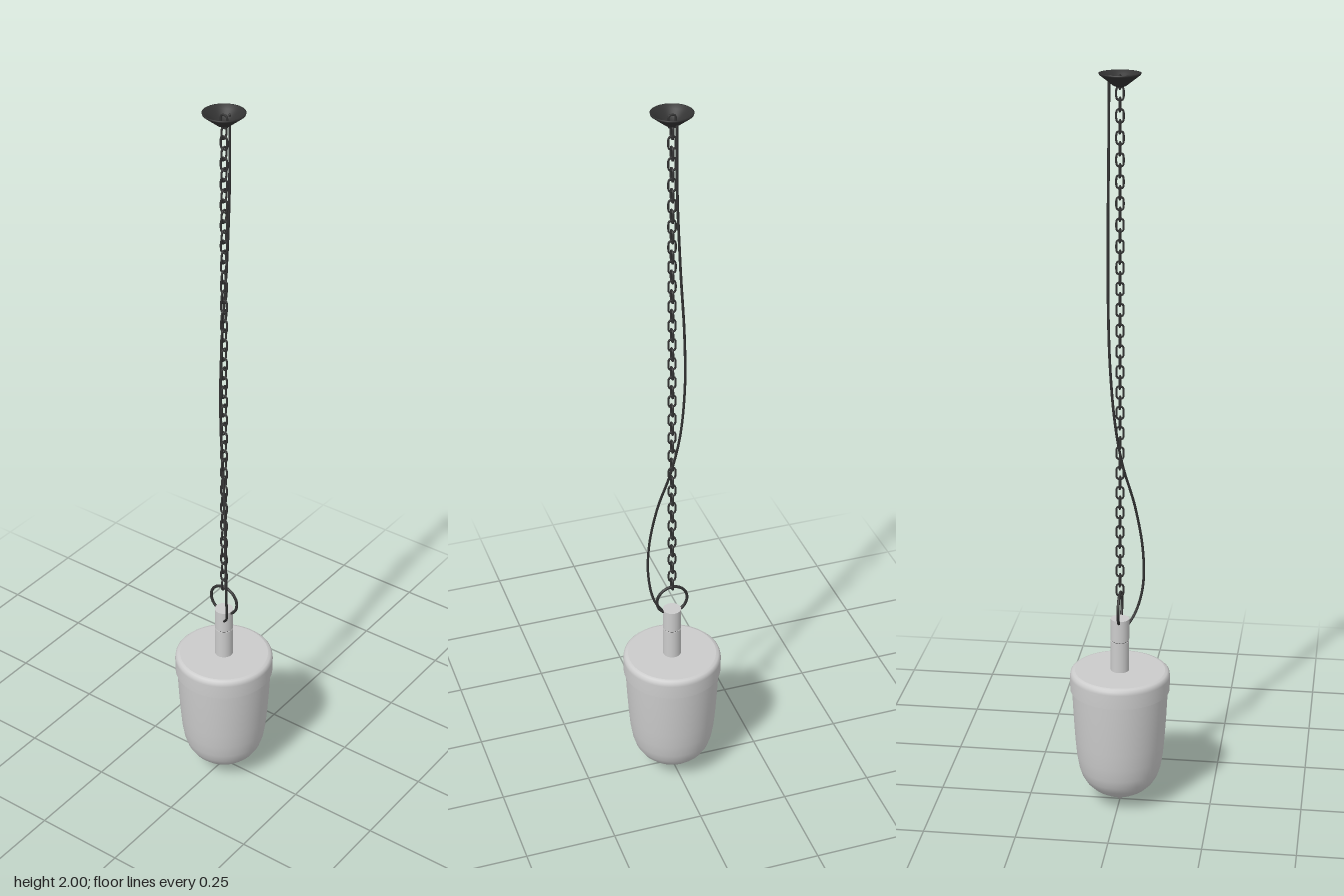
import * as THREE from 'three';

const grey = new THREE.MeshStandardMaterial({ color: 0xcccccc, side: THREE.DoubleSide });
const dark = new THREE.MeshStandardMaterial({ color: 0x333333, side: THREE.DoubleSide });

// Repeating a profile point makes a crisp edge; other corners stay smooth.
function lathe(points, segments = 64) {
  return new THREE.LatheGeometry(points.map(([r, y]) => new THREE.Vector2(r, y)), segments);
}

// Stadium-shaped outline for one chain link, standing in the xy plane.
class LinkCurve extends THREE.Curve {
  constructor(halfWidth, straight) {
    super();
    this.r = halfWidth;
    this.s = straight;
  }
  getPoint(t, target = new THREE.Vector3()) {
    const a = t * Math.PI * 2;
    const c = Math.cos(a), s = Math.sin(a);
    const squash = (v) => Math.sign(v) * Math.pow(Math.abs(v), 0.55);
    return target.set(this.r * squash(c), this.s * squash(s), 0);
  }
}

export function createModel() {
  const model = new THREE.Group();
  model.name = 'pendantLamp';

  function add(name, geometry, material, parent = model) {
    const mesh = new THREE.Mesh(geometry, material);
    mesh.name = name;
    parent.add(mesh);
    return mesh;
  }

  // Ceiling canopy: a thin shallow dish, open upward
  add('canopy', lathe([
    [0, 1.966], [0.01, 1.966], [0.017, 1.969], [0.03, 1.979], [0.043, 1.989],
    [0.052, 1.996], [0.053, 2], [0.05, 2], [0.04, 1.992], [0.027, 1.981],
    [0.015, 1.972], [0, 1.97],
  ], 48), dark);

  // Chain: alternating links turned a quarter
  const chain = new THREE.Group();
  chain.name = 'chain';
  model.add(chain);
  const linkGeometry = new THREE.TubeGeometry(new LinkCurve(0.0095, 0.0165), 24, 0.0028, 6, true);
  const count = 50, bottom = 0.625, top = 1.977;
  for (let i = 0; i < count; i++) {
    const link = add('chainLink', linkGeometry, dark, chain);
    link.position.y = bottom + (top - bottom) * i / (count - 1);
    link.rotation.y = i % 2 ? 0 : Math.PI / 2;
  }

  // Ring threaded through the stem
  add('hangingRing', new THREE.TorusGeometry(0.043, 0.004, 10, 48), dark).position.y = 0.572;

  // Power cord, swinging loosely around the chain
  const cordPath = new THREE.CatmullRomCurve3([
    [-0.003, 1.985, -0.027], [-0.004, 1.8, -0.028], [-0.012, 1.6, -0.029],
    [-0.024, 1.4, -0.027], [-0.027, 1.25, -0.022], [-0.018, 1.1, -0.011],
    [0.002, 0.98, 0.006], [0.03, 0.85, 0.037], [0.047, 0.72, 0.056],
    [0.049, 0.62, 0.056], [0.038, 0.55, 0.039], [0.01, 0.51, 0.015],
  ].map((p) => new THREE.Vector3(...p)));
  add('cord', new THREE.TubeGeometry(cordPath, 140, 0.0035, 8), dark);

  // Stem: upper holder and lower socket with a narrow seam between
  const upper = add('stemHolder', new THREE.CylinderGeometry(0.025, 0.025, 0.062, 40), grey);
  upper.position.y = 0.511;
  const seam = add('stemSeam', new THREE.CylinderGeometry(0.0235, 0.0235, 0.006, 40), dark);
  seam.position.y = 0.479;
  const lower = add('stemSocket', new THREE.CylinderGeometry(0.025, 0.025, 0.092, 40), grey);
  lower.position.y = 0.432;

  // Shade cap: flat lid with a rounded rim and short skirt
  add('shadeCap', lathe([
    [0.131, 0.336], [0.131, 0.336], [0.135, 0.336], [0.135, 0.336], [0.1355, 0.376],
    [0.134, 0.385], [0.129, 0.39], [0.122, 0.392], [0.122, 0.392], [0, 0.392],
  ]), grey);

  // Shade body: tapering bell closing to a small point
  add('shadeBody', lathe([
    [0, 0], [0.005, 0.002], [0.011, 0.008], [0.02, 0.015], [0.035, 0.022], [0.055, 0.033],
    [0.075, 0.046], [0.092, 0.063], [0.104, 0.083], [0.112, 0.108],
    [0.118, 0.145], [0.122, 0.19], [0.126, 0.25], [0.129, 0.31], [0.131, 0.37],
  ]), grey);

  return model;
}
